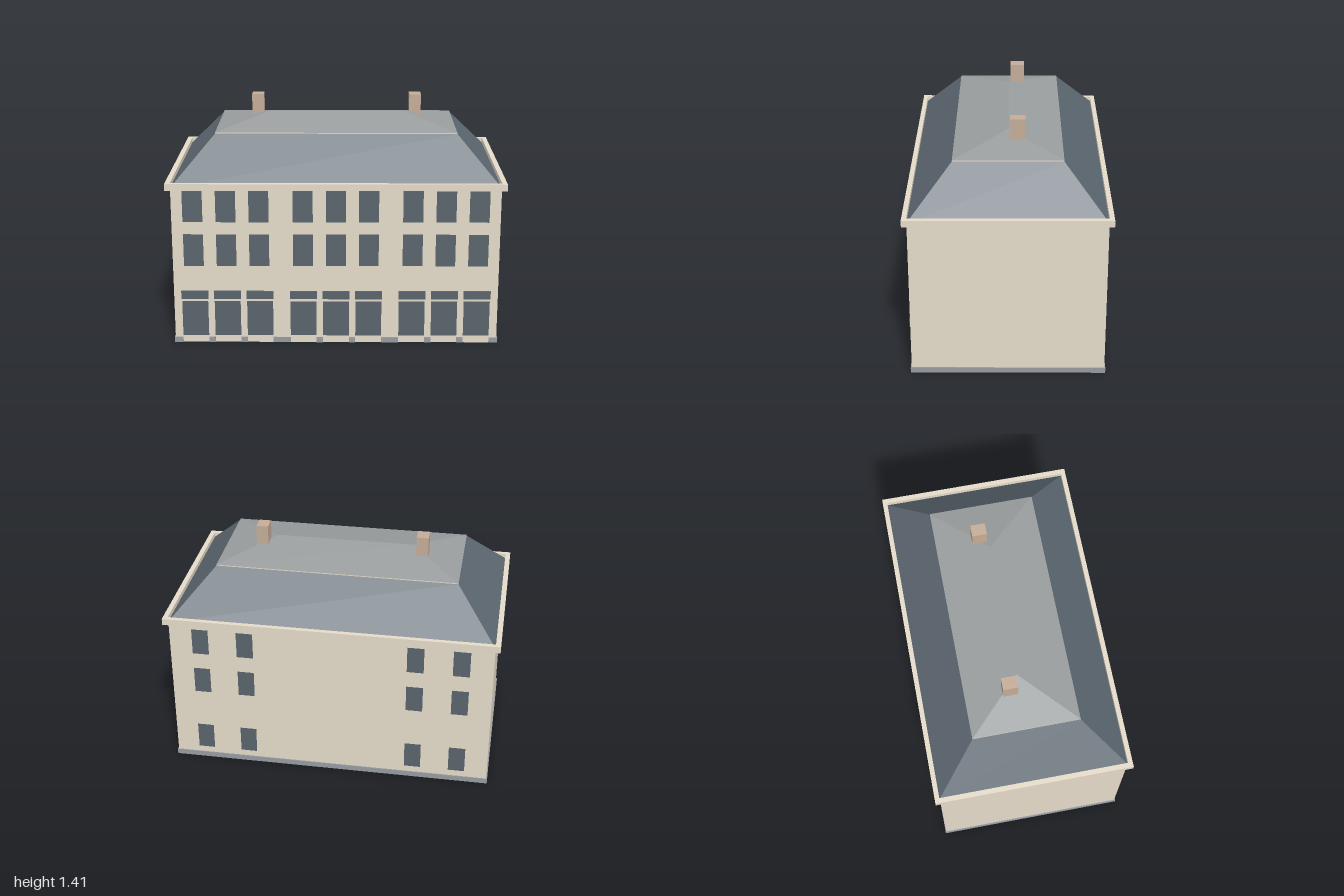
import * as THREE from 'three';

const mat = (name, color, side = THREE.FrontSide) => {
  const m = new THREE.MeshStandardMaterial({ color, side });
  m.name = name;
  return m;
};

// Four faces between two centred rectangles [halfX, halfZ, y], open above and below
function hipGeometry(low, high) {
  const ring = ([x, z, y]) => [[-x, y, z], [x, y, z], [x, y, -z], [-x, y, -z]];
  const a = ring(low), b = ring(high), pos = [];
  for (let i = 0; i < 4; i++) {
    const j = (i + 1) % 4;
    pos.push(...a[i], ...a[j], ...b[j], ...a[i], ...b[j], ...b[i]);
  }
  const g = new THREE.BufferGeometry();
  g.setAttribute('position', new THREE.Float32BufferAttribute(pos, 3));
  g.computeVertexNormals();
  return g;
}

// Rectangular frame lying flat, from half sizes, with its underside at y
function frameGeometry(ox, oz, ix, iz, y, h) {
  const rect = (C, x, z) => {
    const p = new C();
    p.moveTo(-x, -z).lineTo(x, -z).lineTo(x, z).lineTo(-x, z).closePath();
    return p;
  };
  const s = rect(THREE.Shape, ox, oz);
  s.holes.push(rect(THREE.Path, ix, iz));
  const g = new THREE.ExtrudeGeometry(s, { depth: h, bevelEnabled: false });
  return g.rotateX(-Math.PI / 2).translate(0, y, 0);
}

export function createModel() {
  const house = new THREE.Group();
  house.name = 'townhouse';
  const stone = mat('stone', 0xe4dac9, THREE.DoubleSide);
  const glass = mat('darkGlass', 0x59636c);
  const slate = mat('slate', 0x5e6972, THREE.DoubleSide);
  const zinc = mat('zinc', 0x999d9e, THREE.DoubleSide);
  const base = mat('plinthGrey', 0x969ba1);
  const brick = mat('chimneyBrick', 0xc4ac97);

  const add = (name, geometry, material) => {
    const m = new THREE.Mesh(geometry, material);
    m.name = name;
    house.add(m);
    return m;
  };
  // Box given by its ranges on each axis
  const box = (name, material, x0, x1, y0, y1, z0, z1) => {
    const m = add(name, new THREE.BoxGeometry(x1 - x0, y1 - y0, z1 - z0), material);
    m.position.set((x0 + x1) / 2, (y0 + y1) / 2, (z0 + z1) / 2);
  };

  // Hollow shell of walls, open underneath
  const WX = 0.97, WZ = 0.563;
  add('walls', hipGeometry([WX, WZ, 0], [WX, WZ, 0.966]), stone);
  add('cornice', frameGeometry(1, 0.591, WX, WZ, 0.96, 0.04), stone);

  // Mansard roof, eave strip and shallow upper roof
  add('mansardRoof', hipGeometry([0.974, 0.567, 0.966], [0.724, 0.317, 1.237]), slate);
  add('eaveStrip', hipGeometry([0.724, 0.317, 1.237], [0.724, 0.317, 1.243]), stone);
  add('upperRoof', hipGeometry([0.724, 0.317, 1.243], [0.41, 0, 1.31]), zinc);
  for (const s of [-1, 1]) {
    box('chimney', brick, s * 0.486 - 0.036, s * 0.486 + 0.036, 1.245, 1.41, -0.099, -0.011);
  }

  // Front bays in three groups of three: shop opening, sign, two windows
  const bays = [-0.65, 0, 0.65].flatMap(c => [c - 0.195, c, c + 0.195]);
  for (const x of bays) {
    box('shopWindow', glass, x - 0.078, x + 0.078, 0.044, 0.263, WZ, WZ + 0.001);
    box('signBoard', glass, x - 0.081, x + 0.081, 0.28, 0.33, WZ, WZ + 0.009);
    for (const y of [0.488, 0.76]) {
      box('frontWindow', glass, x - 0.059, x + 0.059, y, y + 0.197, WZ, WZ + 0.001);
    }
  }

  // Back windows
  for (const x of [-0.783, -0.512, 0.512, 0.783]) {
    for (const y of [0.073, 0.488, 0.76]) {
      box('backWindow', glass, x - 0.05, x + 0.05, y, y + 0.168, -WZ - 0.001, -WZ);
    }
  }

  // Plinth: sides and back run through, front is broken at each shop opening
  const PX = 0.976, PZ = 0.569, PH = 0.033;
  box('backPlinth', base, -PX, PX, 0, PH, -PZ, -WZ);
  for (const s of [-1, 1]) {
    box('sidePlinth', base, Math.min(s * WX, s * PX), Math.max(s * WX, s * PX), 0, PH, -WZ, WZ);
  }
  const edges = [-PX, ...bays.flatMap(x => [x - 0.078, x + 0.078]), PX];
  for (let i = 0; i < edges.length; i += 2) {
    box('frontPlinth', base, edges[i], edges[i + 1], 0, PH, WZ, PZ);
  }
  return house;
}
